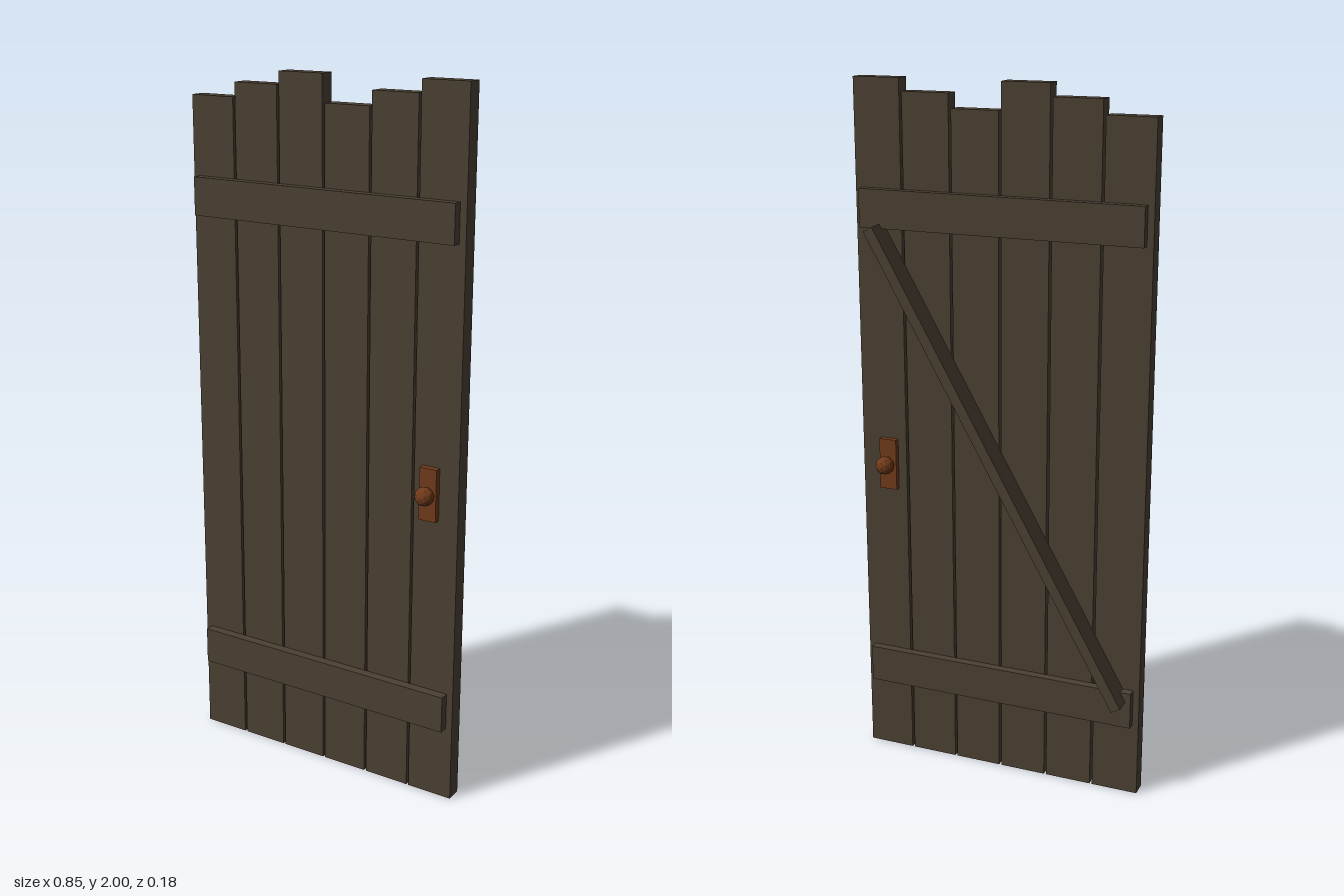
import * as THREE from 'three';

export function createModel() {
  const door = new THREE.Group();
  door.name = 'plankDoor';

  const wood = new THREE.MeshStandardMaterial({ color: 0x4b4033 });
  wood.name = 'darkWood';
  const copper = new THREE.MeshStandardMaterial({ color: 0x703a1b });
  copper.name = 'copper';

  function add(name, geometry, material, x, y, z) {
    const mesh = new THREE.Mesh(geometry, material);
    mesh.name = name;
    mesh.position.set(x, y, z);
    door.add(mesh);
    return mesh;
  }

  // box given by its lower and upper limits on each axis
  function block(name, material, [x0, x1], [y0, y1], [z0, z1]) {
    return add(name, new THREE.BoxGeometry(x1 - x0, y1 - y0, z1 - z0), material,
      (x0 + x1) / 2, (y0 + y1) / 2, (z0 + z1) / 2);
  }

  // six upright planks with uneven tops
  const pitch = 0.1433, width = 0.136;
  [1.925, 1.965, 2, 1.925, 1.965, 2].forEach((top, i) => {
    const x = (i - 2.5) * pitch;
    block('plank' + (i + 1), wood, [x - width / 2, x + width / 2], [0, top], [-0.02, 0.026]);
  });

  // cross battens on both faces
  for (const [level, y0, y1] of [['lower', 0.22, 0.328], ['upper', 1.598, 1.705]]) {
    block(level + 'FrontBatten', wood, [-0.408, 0.407], [y0, y1], [0.026, 0.053]);
    block(level + 'BackBatten', wood, [-0.408, 0.407], [y0, y1], [-0.045, -0.02]);
  }

  // diagonal brace across the back
  const brace = add('backBrace', new THREE.BoxGeometry(1.504, 0.03, 0.072), wood, -0.01, 0.948, -0.056);
  brace.rotation.z = THREE.MathUtils.degToRad(60.6);

  // plate and faceted knob on both faces
  copper.flatShading = true;
  const knob = new THREE.IcosahedronGeometry(0.027, 1);
  block('frontPlate', copper, [0.316, 0.368], [0.84, 0.99], [0.026, 0.045]);
  block('backPlate', copper, [0.316, 0.368], [0.84, 0.99], [-0.036, -0.02]);
  add('frontKnob', knob, copper, 0.343, 0.917, 0.064);
  add('backKnob', knob, copper, 0.343, 0.917, -0.055);

  return door;
}
